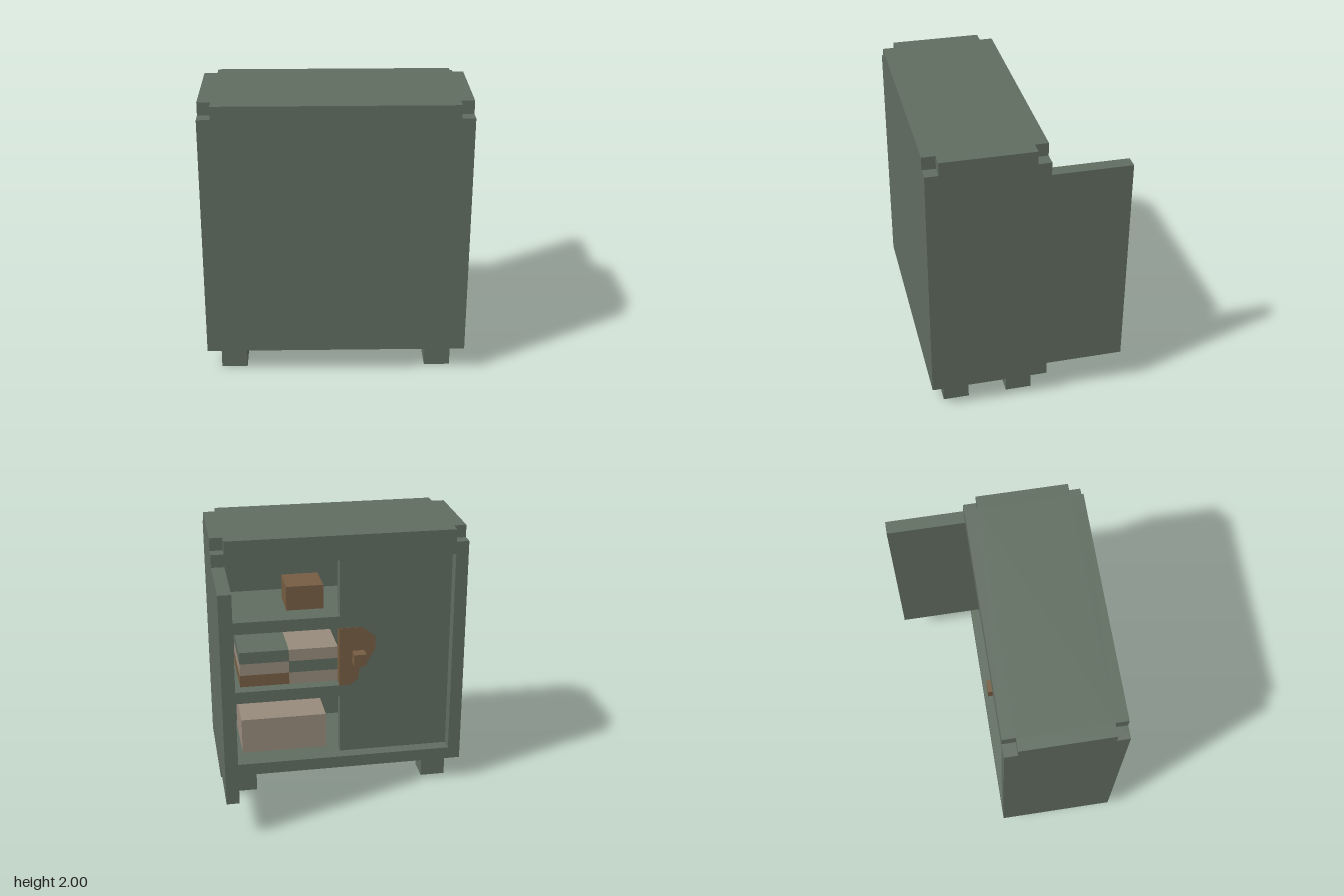
import * as THREE from 'three';

// The model is laid out on a block grid: 11 blocks = 1 unit.
const U = 1 / 11;

function material(name, color) {
  const m = new THREE.MeshStandardMaterial({ color });
  m.name = name;
  return m;
}

export function createModel() {
  const green = material('greyGreen', 0x616d61);
  const tan = material('tan', 0x988b7c);
  const brown = material('brown', 0x765d42);

  const root = new THREE.Group();
  root.name = 'cabinet';

  function add(name, geometry, mat, parent = root) {
    const mesh = new THREE.Mesh(geometry.scale(U, U, U), mat);
    mesh.name = name;
    parent.add(mesh);
    return mesh;
  }

  // Box from its ranges in blocks
  function block(name, mat, [x0, x1], [y0, y1], [z0, z1], parent) {
    const g = new THREE.BoxGeometry(x1 - x0, y1 - y0, z1 - z0);
    g.translate((x0 + x1) / 2, (y0 + y1) / 2, (z0 + z1) / 2);
    return add(name, g, mat, parent);
  }

  const outline = (points) => new THREE.Shape(points.map(([x, y]) => new THREE.Vector2(x, y)));

  // Legs
  for (const x of [-9, 7]) {
    for (const z of [-0.5, 4.5]) block('leg', green, [x, x + 2], [0, 2], [z, z + 2]);
  }

  // Shell, open towards -z
  const shell = new THREE.Group();
  shell.name = 'shell';
  root.add(shell);
  block('floor', green, [-10, 10], [2, 3], [-1.5, 7.5], shell);
  block('frontPanel', green, [-10, 10], [3, 20], [6.5, 7.5], shell);
  for (const x of [-10, 9]) block('sidePanel', green, [x, x + 1], [3, 20], [-1.5, 6.5], shell);
  block('topPanel', green, [-10, 10], [20, 21], [-1.5, 7.5], shell);

  // Uppermost layer with its four corners cut out
  const cap = outline([
    [-9, -4.5], [9, -4.5], [9, -3.5], [10, -3.5], [10, 3.5], [9, 3.5],
    [9, 4.5], [-9, 4.5], [-9, 3.5], [-10, 3.5], [-10, -3.5], [-9, -3.5],
  ]);
  const capGeometry = new THREE.ExtrudeGeometry(cap, { depth: 1, bevelEnabled: false });
  capGeometry.rotateX(-Math.PI / 2).translate(0, 21, 3);
  add('notchedCap', capGeometry, green, shell);

  // Shelves: deeper on the open half, shorter behind the closed door
  for (const y of [8, 14]) {
    block('shelf', green, [0, 9], [y, y + 1], [-0.5, 6.5]);
    block('shelfBehindDoor', green, [-9, 0], [y, y + 1], [0.5, 6.5]);
  }

  // Doors
  block('openDoor', green, [9, 10], [3, 20], [-7.5, -1.5]);
  block('closedDoor', green, [-9, 0], [3, 20], [-0.5, 0.5]);
  block('doorKnob', brown, [-2, -1], [11, 12], [-1.5, -0.5]);

  // Worn brown patch around the knob and over the door's edge
  const patch = outline([
    [0, 9], [0, 14], [-1.8, 14], [-2.9, 13.1], [-2.9, 12.1],
    [-2.2, 10.9], [-1.6, 10.4], [-1.5, 9.5], [-0.8, 9],
  ]);
  const patchGeometry = new THREE.ExtrudeGeometry(patch, { depth: 0.04, bevelEnabled: false });
  add('doorPatch', patchGeometry.translate(0, 0, -0.54), brown);
  block('doorEdgePatch', brown, [0, 0.04], [9, 14], [-0.54, 0.5]);

  // Things kept inside
  block('smallBox', brown, [1, 4], [15, 17], [1.5, 4.5]);
  block('largeBox', tan, [1, 8], [3, 6], [0.5, 5.5]);

  // Two piles of books, listed from the bottom up
  const piles = [
    { x: 4, colours: [brown, tan, green] },
    { x: 0, colours: [tan, green, tan] },
  ];
  for (const { x, colours } of piles) {
    colours.forEach((c, i) => block('book', c, [x, x + 4], [9 + i, 10 + i], [0.5, 5.5]));
  }

  return root;
}
